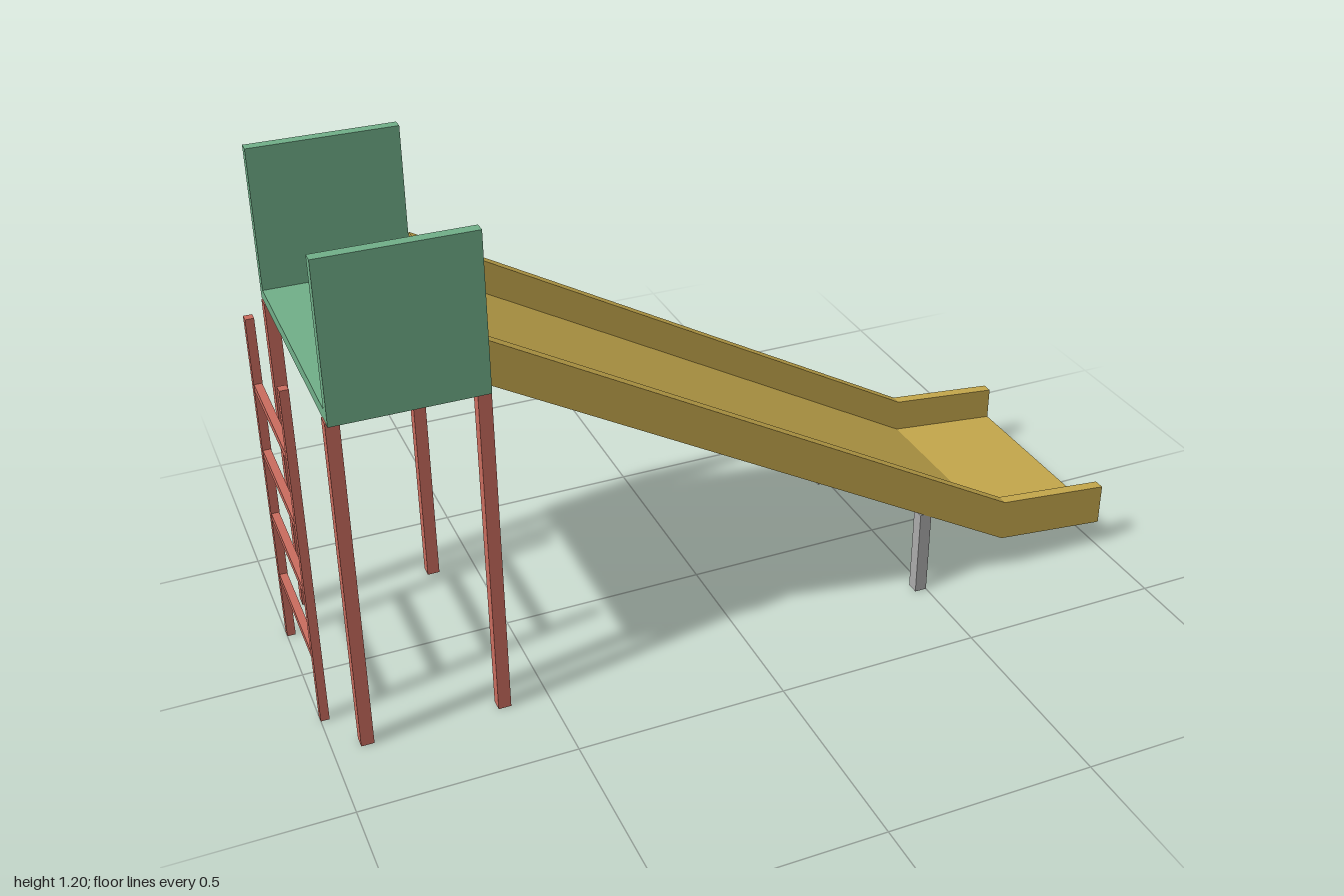
import * as THREE from 'three';

const material = (name, color) => {
  const m = new THREE.MeshStandardMaterial({ color });
  m.name = name;
  return m;
};

export function createModel() {
  const green = material('green', 0x72b08a);
  const yellow = material('yellow', 0xcaac4e);
  const red = material('red', 0xcb6d5f);
  const grey = material('grey', 0xadadad);
  const model = new THREE.Group();
  model.name = 'playgroundSlide';

  // Box given by its min and max on each axis
  const box = (name, mat, [x0, x1], [y0, y1], [z0, z1]) => {
    const mesh = new THREE.Mesh(new THREE.BoxGeometry(x1 - x0, y1 - y0, z1 - z0), mat);
    mesh.position.set((x0 + x1) / 2, (y0 + y1) / 2, (z0 + z1) / 2);
    mesh.name = name;
    model.add(mesh);
  };
  // The same box on both sides of the centre line
  const pair = (name, mat, x, y, [z0, z1]) => {
    box(name + 'Front', mat, x, y, [z0, z1]);
    box(name + 'Back', mat, x, y, [-z1, -z0]);
  };

  // Platform with two side panels
  box('platform', green, [-0.935, -0.593], [0.826, 0.855], [-0.313, 0.313]);
  pair('sidePanel', green, [-0.935, -0.593], [0.855, 1.195], [0.287, 0.313]);

  // Platform posts
  pair('outerPost', red, [-0.938, -0.908], [0, 0.828], [0.27, 0.3]);
  pair('innerPost', red, [-0.62, -0.59], [0, 0.828], [0.27, 0.3]);

  // Ladder rails and rungs
  pair('ladderRail', red, [-1, -0.98], [0, 0.855], [0.16, 0.181]);
  for (let i = 1; i <= 4; i++) {
    const y = i * 0.171;
    box('ladderRung' + i, red, [-0.999, -0.981], [y - 0.009, y + 0.009], [-0.161, 0.161]);
  }

  // Slide: bent profiles extruded across z
  const underside = [[-0.593, 0.832], [0.71, 0.095], [1, 0.067]];
  const bentPlate = (name, height, z0, z1) => {
    const upper = underside.map(([x, y]) => [x, y + height]).reverse();
    const shape = new THREE.Shape([...underside, ...upper].map(([x, y]) => new THREE.Vector2(x, y)));
    const geometry = new THREE.ExtrudeGeometry(shape, { depth: z1 - z0, bevelEnabled: false });
    const mesh = new THREE.Mesh(geometry, yellow);
    mesh.position.z = z0;
    mesh.name = name;
    model.add(mesh);
  };
  bentPlate('slideBed', 0.021, -0.257, 0.257);
  bentPlate('slideWallFront', 0.106, 0.257, 0.284);
  bentPlate('slideWallBack', 0.106, -0.284, -0.257);

  // Supports under the lower end
  pair('slideSupport', grey, [0.47, 0.5], [0, 0.225], [0.252, 0.283]);

  return model;
}
